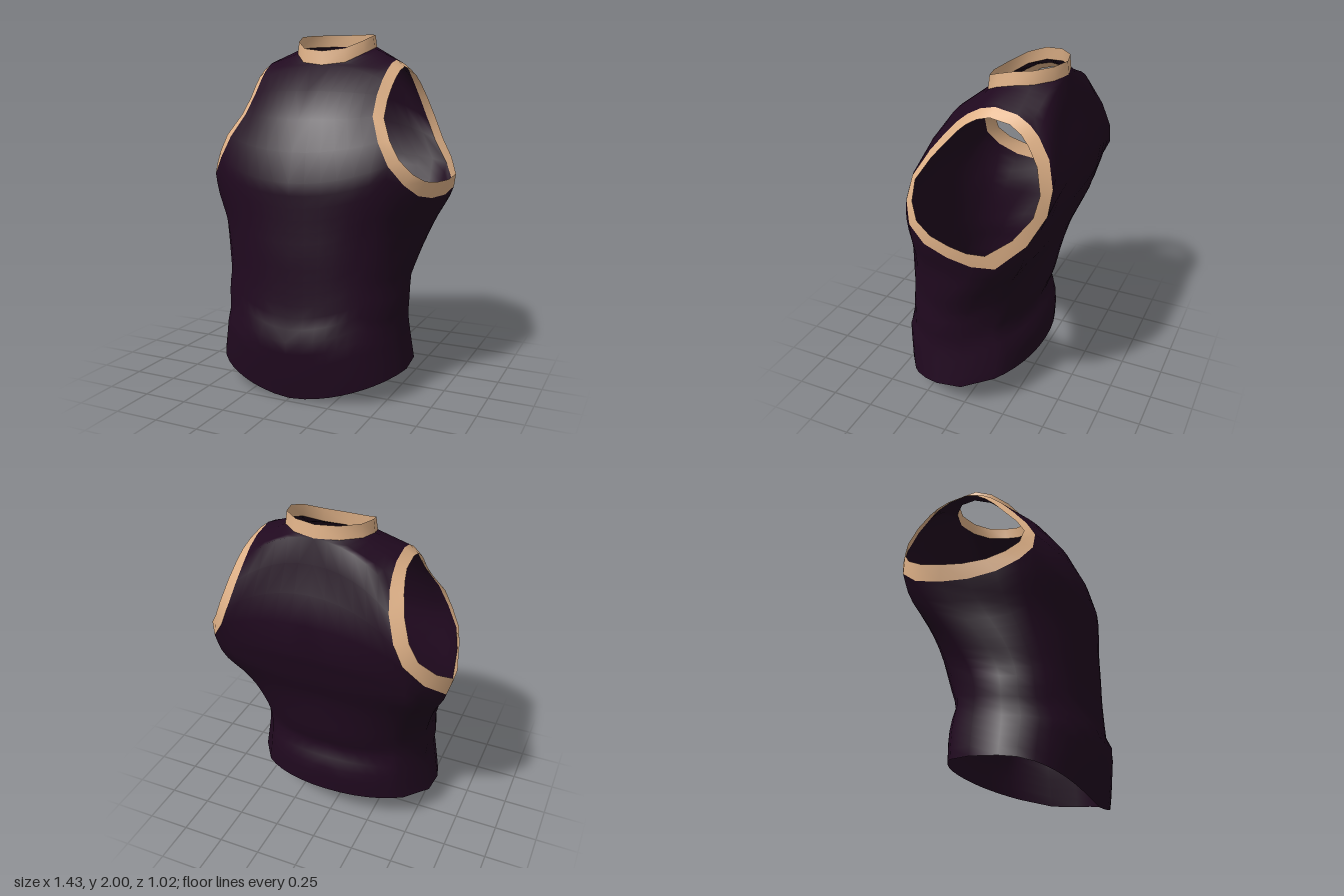
import * as THREE from 'three';
import { mergeGeometries, mergeVertices } from 'three/addons/utils/BufferGeometryUtils.js';

const V = (x, y, z) => new THREE.Vector3(x, y, z);
const { lerp, smoothstep, clamp } = THREE.MathUtils;

// Upper half: each row runs from the centre line or neck edge to the armhole edge
const upper = [
  [V(0, 1.2, 0.455), V(0.505, 1.3, 0.31)],
  [V(0, 1.36, 0.41), V(0.445, 1.42, 0.3)],
  [V(0, 1.53, 0.33), V(0.385, 1.55, 0.225)],
  [V(0, 1.68, 0.22), V(0.373, 1.66, 0.135)],
  [V(0, 1.82, 0.04), V(0.375, 1.74, 0.06)],
  [V(0.13, 1.835, 0.005), V(0.378, 1.79, 0)],
  [V(0.21, 1.885, -0.08), V(0.38, 1.83, -0.07)],
  [V(0.235, 1.915, -0.18), V(0.38, 1.85, -0.15)],
  [V(0.21, 1.925, -0.28), V(0.382, 1.83, -0.27)],
  [V(0.12, 1.93, -0.36), V(0.388, 1.79, -0.34)],
  [V(0, 1.93, -0.39), V(0.395, 1.74, -0.39)],
  [V(0, 1.8, -0.415), V(0.417, 1.64, -0.455)],
  [V(0, 1.65, -0.46), V(0.46, 1.5, -0.495)],
  [V(0, 1.5, -0.51), V(0.51, 1.38, -0.49)],
  [V(0, 1.3, -0.49), V(0.605, 1.25, -0.425)],
];

// Underside of the armhole, front to back
const underarm = [
  V(0.575, 1.2, 0.26), V(0.62, 1.13, 0.15), V(0.65, 1.1, 0),
  V(0.68, 1.1, -0.15), V(0.692, 1.13, -0.29),
];

// Torso sections: height, half width, front z, back z
const sections = [
  [0, 0.585, 0.46, -0.31], [0.15, 0.577, 0.485, -0.31], [0.35, 0.542, 0.51, -0.325],
  [0.42, 0.532, 0.475, -0.32], [0.52, 0.542, 0.465, -0.27], [0.65, 0.537, 0.46, -0.315],
  [0.8, 0.577, 0.46, -0.34], [0.95, 0.622, 0.455, -0.37], [1.1, 0.69, 0.455, -0.43],
  [1.2, 0.71, 0.455, -0.455], [1.3, 0.72, 0.43, -0.49],
];

function torsoPoint(y, angle) {
  let i = 0;
  while (i < sections.length - 2 && sections[i + 1][0] < y) i++;
  const a = sections[i], b = sections[i + 1];
  const t = clamp((y - a[0]) / (b[0] - a[0]), 0, 1);
  const [, w, front, back] = a.map((v, k) => lerp(v, b[k], t));
  const zc = lerp(0.07, -0.25, smoothstep(y, 0.5, 1.2));
  const c = Math.cos(angle);
  const e = 2 / (c > 0 ? 2.3 : lerp(2.1, 2.7, smoothstep(y, 0.8, 1.15)));
  const depth = c > 0 ? front - zc : back - zc;
  return V(w * Math.pow(Math.max(0, Math.sin(angle)), e), y, zc + depth * Math.pow(Math.abs(c), e));
}

// Skin a grid of points; mirrored copies get reversed winding
function loft(rows, mirror = false) {
  const pos = [], index = [], n = rows[0].length;
  for (const row of rows) for (const p of row) pos.push(mirror ? -p.x : p.x, p.y, p.z);
  for (let i = 0; i < rows.length - 1; i++) {
    for (let j = 0; j < n - 1; j++) {
      const a = i * n + j, b = a + 1, d = a + n, c = d + 1;
      if (mirror) index.push(a, c, b, a, d, c);
      else index.push(a, b, c, a, c, d);
    }
  }
  const g = new THREE.BufferGeometry();
  g.setAttribute('position', new THREE.Float32BufferAttribute(pos, 3));
  g.setIndex(index);
  return g;
}

function weld(parts) {
  const g = mergeVertices(mergeGeometries(parts), 1e-4);
  g.computeVertexNormals();
  return g;
}

export function createModel() {
  const fabric = new THREE.MeshStandardMaterial({ color: 0x20091f, side: THREE.DoubleSide });
  fabric.name = 'dark purple fabric';
  const binding = new THREE.MeshStandardMaterial({ color: 0xe0b288, side: THREE.DoubleSide });
  binding.name = 'tan binding';

  const group = new THREE.Group();
  group.name = 'sleevelessTop';
  const add = (name, geometry, material) => {
    const mesh = new THREE.Mesh(geometry, material);
    mesh.name = name;
    group.add(mesh);
  };

  // Chest, shoulders and upper back
  const upperRows = upper.map(([inner, outer]) => {
    const control = inner.x > 0
      ? inner.clone().lerp(outer, 0.5)
      : V(outer.x * 0.55, inner.y, inner.z);
    return new THREE.QuadraticBezierCurve3(inner, control, outer).getPoints(6);
  });

  // Lower torso: from the sloping hem up to the chest, underarm and back edges
  const topEdge = [...upperRows[0], ...underarm, ...upperRows[14].slice().reverse()];
  const angles = topEdge.map((_, j) => {
    if (j <= 6) return 42 * j / 6;
    if (j <= 11) return [49, 58, 70, 82, 101][j - 7];
    return 128 + 52 * (j - 12) / 6;
  }).map(THREE.MathUtils.degToRad);
  const lowerRows = [];
  const steps = 18;
  for (let i = 0; i <= steps; i++) {
    const v = i / steps;
    lowerRows.push(topEdge.map((top, j) => {
      const a = angles[j];
      const hem = a < Math.PI / 2 ? 0.155 * Math.pow(Math.sin(a), 1.35) : 0.155 - 0.075 * Math.cos(a);
      const p = torsoPoint(lerp(hem, top.y, v), a);
      const offset = top.clone().sub(torsoPoint(top.y, a));
      return p.addScaledVector(offset, smoothstep(v, 0.6, 1));
    }));
  }
  add('body', weld([false, true].flatMap(m => [loft(upperRows, m), loft(lowerRows, m)])), fabric);

  // Armhole bindings: wider under the arm, standing outwards, most at the back
  const edge = [...upper.map(r => r[1]), ...underarm.slice().reverse(), upper[0][1]];
  const rim = edge.map(p => {
    const low = clamp((1.45 - p.y) / 0.3, 0, 1);
    const inward = V(0, 1.47 - p.y, -0.1 - p.z).normalize();
    const q = p.clone().addScaledVector(inward, 0.04 + 0.05 * low);
    q.x += lerp(lerp(0.05, 0.068, smoothstep(-p.z, 0.25, 0.45)), 0.022, low * low);
    return q;
  });
  add('leftArmholeBinding', weld([loft([rim, edge])]), binding);
  add('rightArmholeBinding', weld([loft([rim, edge], true)]), binding);

  // Standing collar, leaning slightly inwards
  const neck = upper.slice(4, 11).map(r => r[0]);
  const collarTop = neck.map(p =>
    V(p.x * 0.96, p.y + 0.07 + (p.z > 0 ? 0.008 : 0), -0.18 + (p.z + 0.18) * 0.96));
  add('collar', weld([loft([neck, collarTop]), loft([neck, collarTop], true)]), binding);

  return group;
}
